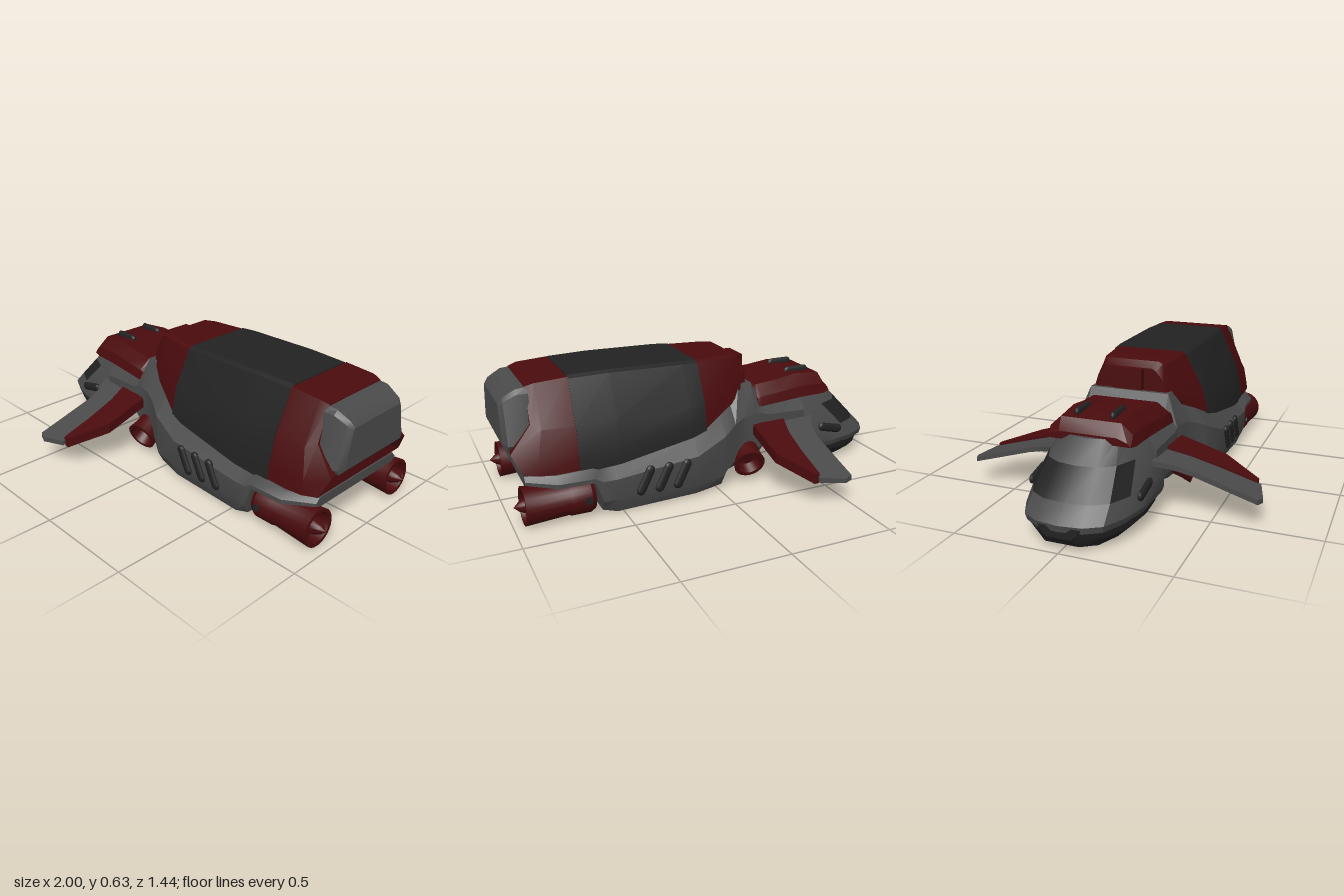
import * as THREE from 'three';
import { toCreasedNormals } from 'three/addons/utils/BufferGeometryUtils.js';

export function createModel() {
  const model = new THREE.Group();
  const paint = (name, color) => {
    const m = new THREE.MeshStandardMaterial({ color });
    m.name = name;
    return m;
  };
  const grey = paint('hull grey', 0x4a4a4a);
  const dark = paint('dark panel', 0x222222);
  const red = paint('deep red', 0x4a0b0d);

  const add = (name, geometry, material) => {
    const mesh = new THREE.Mesh(geometry, material);
    mesh.name = name;
    model.add(mesh);
    return mesh;
  };

  // Skin a stack of closed rings of [x, y, z]; pick(i, j) chooses 1 for the second part
  function loft(rings, parts, pick = () => 0) {
    const tris = parts.map(() => []);
    const n = rings[0].length;
    let volume = 0;
    const tri = (k, a, b, c) => {
      const [A, B, C] = [a, b, c].map((p) => new THREE.Vector3(...p));
      volume += A.dot(B.clone().cross(C));
      tris[k].push([a, b, c]);
    };
    for (let i = 0; i < rings.length - 1; i++) {
      for (let j = 0; j < n; j++) {
        const k = (j + 1) % n, p = pick(i, j);
        const a = rings[i][j], b = rings[i][k], c = rings[i + 1][k], d = rings[i + 1][j];
        tri(p, a, b, c);
        tri(p, a, c, d);
      }
    }
    [rings[0], rings[rings.length - 1]].forEach((ring, end) => {
      const mid = [0, 1, 2].map((q) => ring.reduce((s, p) => s + p[q], 0) / n);
      for (let j = 0; j < n; j++) {
        const a = ring[j], b = ring[(j + 1) % n];
        if (end) tri(0, mid, a, b); else tri(0, mid, b, a);
      }
    });
    parts.forEach(([name, material], k) => {
      const list = tris[k].map(([a, b, c]) => (volume > 0 ? [a, b, c] : [a, c, b]));
      const g = new THREE.BufferGeometry();
      g.setAttribute('position', new THREE.Float32BufferAttribute(list.flat(2), 3));
      add(name, toCreasedNormals(g, 0.45), material);
    });
  }

  // Symmetric ring at x from half points [z, y, extra x], bottom to top
  const ring = (x, half) => [
    ...half.map(([z, y, dx = 0]) => [x + dx, y, z]),
    ...half.slice().reverse().map(([z, y, dx = 0]) => [x + dx, y, -z]),
  ];

  // Main hull: x, bottom half width, bottom, side half width, side low, side high, top half width, top
  loft([
    [-0.52, 0.15, 0.17, 0.25, 0.22, 0.32, 0.18, 0.4],
    [-0.3, 0.19, 0.13, 0.26, 0.2, 0.33, 0.2, 0.41],
    [-0.27, 0.19, 0.07, 0.26, 0.17, 0.34, 0.2, 0.42],
    [-0.23, 0.2, 0.065, 0.265, 0.15, 0.35, 0.2, 0.49],
    [-0.16, 0.21, 0.065, 0.275, 0.14, 0.34, 0.2, 0.49],
    [-0.1, 0.24, 0.065, 0.3, 0.13, 0.32, 0.22, 0.42],
    [-0.035, 0.28, 0.065, 0.335, 0.1, 0.29, 0.26, 0.38],
    [-0.02, 0.31, 0.025, 0.34, 0.08, 0.28, 0.27, 0.37],
    [0.13, 0.345, 0.02, 0.37, 0.08, 0.22, 0.31, 0.3],
    [0.53, 0.35, 0.01, 0.375, 0.08, 0.18, 0.32, 0.24],
    [0.6, 0.345, 0.03, 0.375, 0.08, 0.18, 0.32, 0.235],
    [0.635, 0.34, 0.17, 0.37, 0.18, 0.2, 0.33, 0.235],
    [0.8, 0.34, 0.17, 0.365, 0.18, 0.2, 0.33, 0.23],
    [0.93, 0.26, 0.18, 0.29, 0.19, 0.205, 0.27, 0.225],
  ].map(([x, zb, b, zm, lo, hi, zt, t]) =>
    ring(x, [[zb, b], [zm, lo], [zm, hi], [zt, t]])), [['hull', grey]]);

  // Head: horizontal rings wrapping round the nose, with the windscreen as a band
  const noseRing = (y, front, w) => {
    const half = [[0.015, 0.4], [0.06, 0.68], [0.16, 0.87], [0.3, 1]].map(([dx, k]) => [front + dx, y, k * w]);
    half.push([-0.46, y, w]);
    return [[front, y, 0], ...half, ...half.slice().reverse().map(([x, h, z]) => [x, h, -z])];
  };
  loft([
    noseRing(0.1, -0.995, 0.255), noseRing(0.13, -1, 0.265), noseRing(0.2, -0.93, 0.262),
    noseRing(0.32, -0.815, 0.235), noseRing(0.41, -0.72, 0.19),
  ], [['head', grey], ['windscreen', dark]], (i, j) => (i === 2 && (j < 3 || j > 7) ? 1 : 0));

  // Jaw under the nose
  loft([
    [-0.99, 0.07, 0.07, 0.12], [-0.96, 0.1, 0.03, 0.11], [-0.89, 0.17, 0.015, 0.11],
    [-0.78, 0.22, 0.01, 0.125], [-0.65, 0.24, 0.012, 0.135], [-0.54, 0.24, 0.045, 0.13], [-0.48, 0.22, 0.09, 0.125],
  ].map(([x, w, b, t]) => ring(x, [[w * 0.78, b], [w + 0.012, (b + t) / 2], [w + 0.02, t]])), [['jaw', dark]]);

  // Red saddle over the neck
  loft([
    [-0.7, 0.2, 0.385, 0.42], [-0.66, 0.21, 0.38, 0.475], [-0.52, 0.22, 0.38, 0.487],
    [-0.4, 0.23, 0.375, 0.47], [-0.28, 0.24, 0.37, 0.462], [-0.26, 0.24, 0.37, 0.445],
  ].map(([x, w, b, t]) => ring(x, [[w, b], [w - 0.015, (b + t) / 2], [w * 0.68, t]])), [['saddle', red]]);

  // Cargo container: front collar, middle and rear collar
  const box = (x, w, b, zs, ys, zt, t) => ring(x, [[w, b], [w - 0.008, b + (ys - b) * 0.35], [zs, ys], [zt, t - 0.012], [zt - 0.02, t]]);
  loft([
    box(-0.21, 0.18, 0.49, 0.17, 0.54, 0.13, 0.6),
    box(-0.17, 0.21, 0.47, 0.19, 0.53, 0.15, 0.627),
    box(-0.11, 0.24, 0.41, 0.22, 0.5, 0.17, 0.63),
    box(0.06, 0.31, 0.33, 0.28, 0.45, 0.19, 0.63),
  ], [['frontCollar', red]]);
  loft([
    box(0.06, 0.312, 0.32, 0.283, 0.45, 0.195, 0.632),
    box(0.14, 0.328, 0.3, 0.29, 0.44, 0.2, 0.636),
    box(0.5, 0.335, 0.235, 0.292, 0.43, 0.2, 0.64),
    box(0.69, 0.33, 0.22, 0.29, 0.43, 0.195, 0.635),
  ], [['container', dark]]);
  loft([
    ring(0.69, [[0.325, 0.225], [0.32, 0.3], [0.285, 0.43], [0.19, 0.63]]),
    ring(0.84, [[0.32, 0.235, 0.03], [0.31, 0.3, 0.03], [0.275, 0.43], [0.19, 0.62]]),
    ring(0.88, [[0.3, 0.245, 0.06], [0.27, 0.335, 0.1], [0.24, 0.45], [0.18, 0.608]]),
  ], [['rearCollar', red]]);
  const latch = add('collarLatch', new THREE.BoxGeometry(0.09, 0.1, 0.14), red);
  latch.position.set(-0.205, 0.55, 0);

  // Rounded rear hatch
  loft([
    ring(0.87, [[0.24, 0.335], [0.25, 0.36], [0.2, 0.58], [0.18, 0.605]]),
    ring(0.92, [[0.24, 0.335], [0.25, 0.36], [0.2, 0.58], [0.18, 0.6]]),
    ring(0.98, [[0.22, 0.335], [0.235, 0.36], [0.187, 0.55], [0.17, 0.567]]),
    ring(1.0, [[0.2, 0.36], [0.205, 0.375], [0.17, 0.53], [0.16, 0.54]]),
  ], [['rearHatch', grey]]);

  // Dark underside panels
  const panel = (name, w, h, d, x, y) => add(name, new THREE.BoxGeometry(w, h, d), dark).position.set(x, y, 0);
  panel('rearBay', 0.2, 0.12, 0.33, 0.67, 0.112);
  panel('deckUnderside', 0.27, 0.008, 0.4, 0.775, 0.168);
  panel('neckUnderside', 0.22, 0.008, 0.36, -0.15, 0.062);

  // Wing panel cut from a plan outline and sloped down outward
  function wing(name, outline, thick, side, material) {
    const shape = new THREE.Shape(outline.map(([x, z]) => new THREE.Vector2(x, -side * z)));
    const g = new THREE.ExtrudeGeometry(shape, { depth: thick, bevelEnabled: false });
    g.rotateX(-Math.PI / 2);
    const p = g.attributes.position;
    for (let i = 0; i < p.count; i++) {
      p.setY(i, p.getY(i) - thick / 2 + 0.27 - 0.3 * (Math.abs(p.getZ(i)) - 0.25));
    }
    g.computeVertexNormals();
    add(name, g, material);
  }

  // Rounded slot
  function slot(name, x, y, z, length, rx, rz) {
    const m = add(name, new THREE.CapsuleGeometry(0.023, length, 4, 10), dark);
    m.position.set(x, y, z);
    m.rotation.set(rx, 0, rz);
    m.scale.z = 0.6;
  }

  const nozzle = [[0, 0], [0.07, 0], [0.082, 0.02], [0.082, 0.11], [0.077, 0.125], [0.09, 0.32], [0.074, 0.32], [0.058, 0.2], [0, 0.2]];
  const lathe = (pts) => toCreasedNormals(new THREE.LatheGeometry(pts.map((p) => new THREE.Vector2(...p)), 24), 0.5);

  for (const s of [1, -1]) {
    const side = s > 0 ? 'left' : 'right';
    wing(side + 'WingFront', [[-0.57, 0.24], [-0.52, 0.33], [-0.5, 0.41], [-0.5, 0.705], [-0.46, 0.72], [-0.34, 0.685], [-0.34, 0.24]], 0.024, s, grey);
    wing(side + 'WingRear', [[-0.4, 0.24], [-0.365, 0.36], [-0.35, 0.5], [-0.345, 0.67], [-0.32, 0.67], [-0.215, 0.49], [-0.215, 0.24]], 0.05, s, red);

    // Rear engine with centre spike and vanes
    const engine = add(side + 'Engine', lathe(nozzle), red);
    engine.position.set(0.63, 0.095, s * 0.29);
    engine.rotation.z = -Math.PI / 2;
    const spike = add(side + 'EngineSpike', lathe([[0, 0], [0.035, 0], [0.035, 0.11], [0.022, 0.14], [0, 0.165]]), red);
    spike.position.set(0.825, 0.095, s * 0.29);
    spike.rotation.z = -Math.PI / 2;
    for (let i = 0; i < 3; i++) {
      const vane = add(side + 'EngineVane', new THREE.BoxGeometry(0.07, 0.13, 0.008), red);
      vane.position.set(0.87, 0.095, s * 0.29);
      vane.rotation.x = (i * Math.PI) / 3;
    }
    const bolt = add(side + 'EngineBolt', new THREE.CylinderGeometry(0.018, 0.018, 0.01, 12), dark);
    bolt.position.set(0.67, 0.1, s * 0.372);
    bolt.rotation.x = Math.PI / 2;

    // Small steering thruster below the neck
    const thruster = add(side + 'Thruster', lathe([[0, 0], [0.07, 0], [0.07, 0.1], [0.078, 0.15], [0.06, 0.15], [0.045, 0.1], [0, 0.1]]), red);
    thruster.position.set(-0.19, 0.165, s * 0.19);
    thruster.quaternion.setFromUnitVectors(new THREE.Vector3(0, 1, 0), new THREE.Vector3(0.15, -0.36, s * 0.9).normalize());

    // Slots on hull, head and saddle
    for (let i = 0; i < 3; i++) slot(side + 'HullSlot', 0.215 + i * 0.092, 0.15, s * 0.374, 0.105, 0, 0.45);
    slot(side + 'HeadSlot', -0.68, 0.2, s * 0.258, 0.1, 0, -1.35);
    slot(side + 'SaddleSlot', -0.56, 0.485, s * 0.085, 0.095, 0, Math.PI / 2);
  }
  return model;
}
